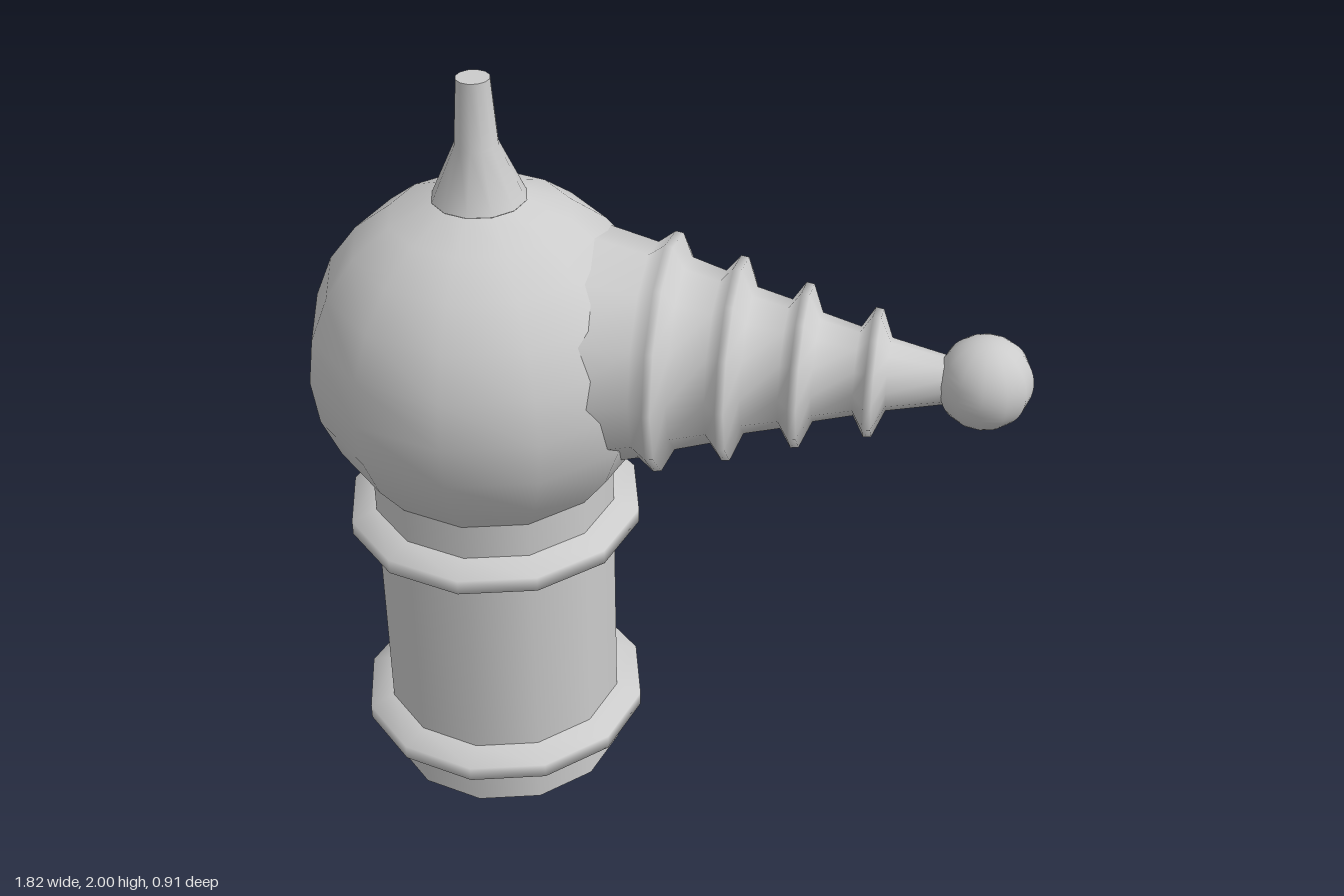
import * as THREE from 'three';

const SIDES = 12;
const material = new THREE.MeshStandardMaterial({ color: 0xcccccc, side: THREE.DoubleSide });

// Smooth surface of revolution from [radius, height] pairs, bottom to top
function lathe(name, profile) {
  const points = profile.map(([r, y]) => new THREE.Vector2(r, y));
  const mesh = new THREE.Mesh(new THREE.LatheGeometry(points, SIDES), material);
  mesh.name = name;
  return mesh;
}

export function createModel() {
  const model = new THREE.Group();

  // Upright column, all parts turned about its own axis
  const column = new THREE.Group();
  column.name = 'column';
  column.position.x = -0.455;
  model.add(column);

  // Open tube in three straight bands
  const R = 0.32;
  for (const [y0, y1] of [[0, 0.11], [0.195, 0.745], [0.83, 0.928]]) {
    column.add(lathe('tubeBand', [[R, y0], [R, y1]]));
  }

  // Two protruding collars
  for (const y of [0.11, 0.745]) {
    column.add(lathe('collar', [[R, y], [0.387, y + 0.022], [0.387, y + 0.062], [R, y + 0.085]]));
  }

  // Ball head, from the tube rim up to the spike base
  const ball = [];
  for (let deg = -45; deg <= 75; deg += 15) {
    const a = THREE.MathUtils.degToRad(deg);
    ball.push([0.455 * Math.cos(a), 1.25 + 0.455 * Math.sin(a)]);
  }
  column.add(lathe('ballHead', ball));

  // Flared spike with a flat tip
  column.add(lathe('topSpike', [[0.118, 1.69], [0.055, 1.83], [0.042, 2]]));
  column.add(lathe('spikeTip', [[0.042, 2], [0, 2]]));

  // Ribbed nozzle pointing sideways
  const nozzleProfile = [[0.32, -0.25], [0.27, -0.04]];
  const ribs = [[0, 0.3, 0.24], [0.168, 0.255, 0.182], [0.335, 0.205, 0.135], [0.51, 0.16, 0.09]];
  const beforeRib = [null, [0.215, 0.135], [0.16, 0.305], [0.11, 0.48]];
  ribs.forEach(([x, peak, after], i) => {
    if (beforeRib[i]) nozzleProfile.push(beforeRib[i]);
    nozzleProfile.push([peak, x], [peak - 0.003, x + 0.02], [after, x + 0.048]);
  });
  nozzleProfile.push([0.062, 0.69], [0.058, 0.74]);
  const nozzle = lathe('ribbedNozzle', nozzleProfile);
  nozzle.rotation.z = -Math.PI / 2;
  nozzle.position.y = 1.3;
  model.add(nozzle);

  // Round knob at the nozzle end
  const knob = new THREE.Mesh(new THREE.SphereGeometry(0.118, SIDES, 24), material);
  knob.name = 'knob';
  knob.position.set(0.79, 1.305, 0);
  model.add(knob);

  return model;
}
